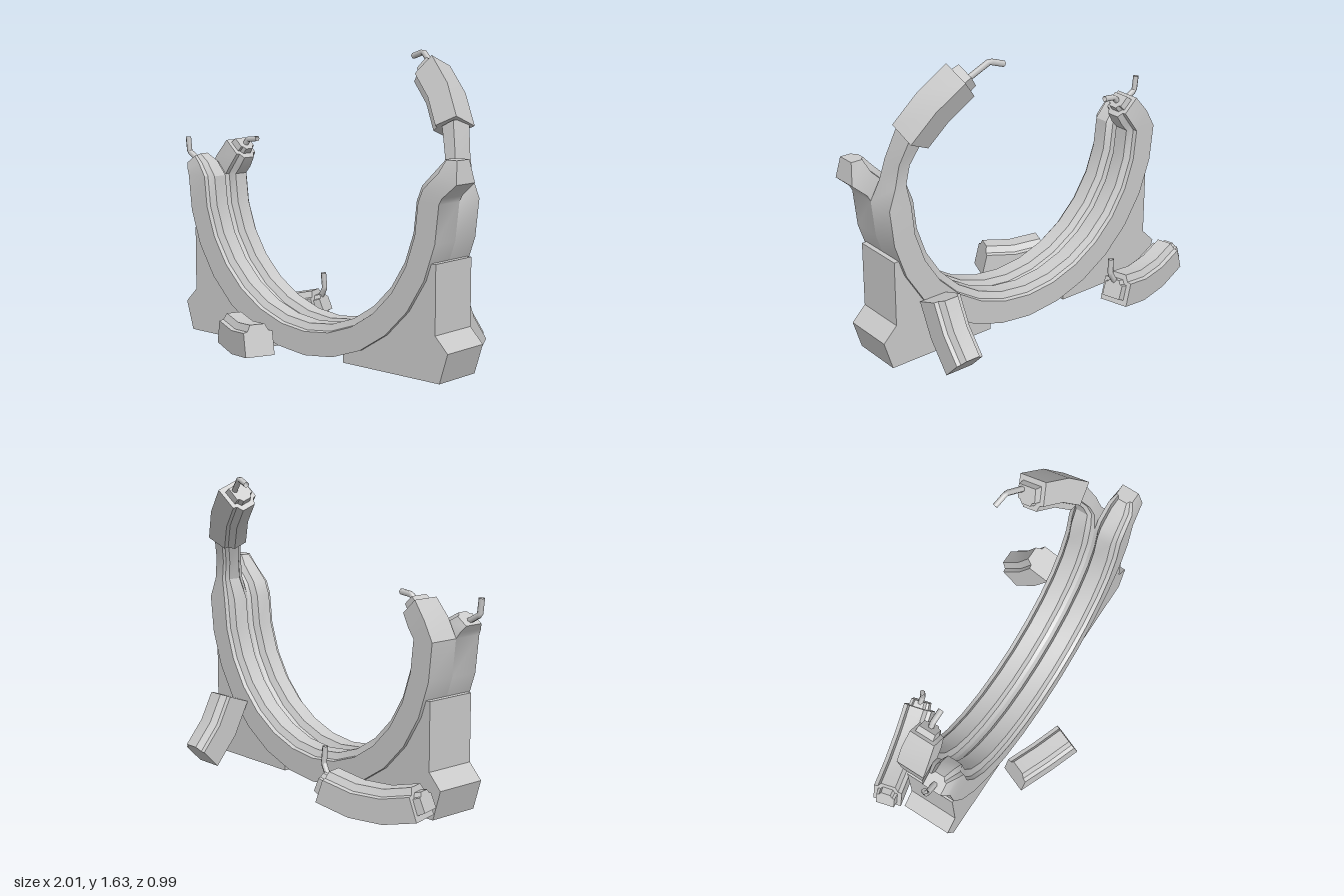
import * as THREE from 'three';
import { toCreasedNormals } from 'three/addons/utils/BufferGeometryUtils.js';

const R = 0.815, CY = 0.9;            // mid radius and height of the ring centre
const STEP = Math.PI / 14;            // one ring segment
const BOTTOM = Math.PI * 1.5;
const mat = new THREE.MeshStandardMaterial({ color: 0xcccccc, side: THREE.DoubleSide });

// Ring cross-section: [inward, sideways], with a raised ridge on the inner face
const PROFILE = [
  [-0.085, -0.0825], [0.045, -0.0825], [0.05, -0.06], [0.085, -0.042],
  [0.085, 0.042], [0.05, 0.06], [0.045, 0.0825], [-0.085, 0.0825],
];

// A section: centre, outward angle, radial scale and sideways scale
const section = (x, y, z, phi, su = 1, sw = 1) => ({ x, y, z, phi, su, sw });
const onRing = (t, z = 0, su = 1, sw = 1) =>
  section(R * Math.cos(t), CY + R * Math.sin(t), z, t, su, sw);

function arc(from, count, z = 0) {
  return Array.from({ length: count + 1 }, (_, i) => onRing(from + i * STEP, z));
}

// Skin the profile through a list of sections and close both ends
function loft(name, sections) {
  const n = PROFILE.length, pos = [], idx = [];
  for (const s of sections) {
    for (const [a, b] of PROFILE) {
      pos.push(s.x - Math.cos(s.phi) * a * s.su, s.y - Math.sin(s.phi) * a * s.su, s.z + b * s.sw);
    }
  }
  for (let i = 0; i < sections.length - 1; i++) {
    for (let j = 0; j < n; j++) {
      const k = (j + 1) % n, p = i * n, q = p + n;
      idx.push(p + j, p + k, q + k, p + j, q + k, q + j);
    }
  }
  const first = sections[0], last = sections[sections.length - 1];
  const c = sections.length * n, e = c - n;
  pos.push(first.x, first.y, first.z, last.x, last.y, last.z);
  for (let j = 0; j < n; j++) {
    const k = (j + 1) % n;
    idx.push(c, k, j, c + 1, e + j, e + k);
  }
  const geo = new THREE.BufferGeometry();
  geo.setAttribute('position', new THREE.Float32BufferAttribute(pos, 3));
  geo.setIndex(idx);
  const mesh = new THREE.Mesh(toCreasedNormals(geo, 0.5), mat);
  mesh.name = name;
  return mesh;
}

// Bent piece of conduit sticking out of a broken end
function wire(name, points) {
  const path = new THREE.CurvePath();
  const v = points.map(p => new THREE.Vector3(...p));
  for (let i = 1; i < v.length; i++) path.add(new THREE.LineCurve3(v[i - 1], v[i]));
  const mesh = new THREE.Mesh(new THREE.TubeGeometry(path, 12, 0.016, 6, false), mat);
  mesh.name = name;
  return mesh;
}

// Stepped plug on the end of an arc
const plug = (t, dir) => [onRing(t, 0, 0.65, 0.7), onRing(t + dir * 0.05, 0, 0.6, 0.65)];

// Fallen piece of ring lying with its ridge upwards
function fallenPiece(name, count, position, rotation, plugs = false) {
  const half = count * STEP / 2;
  let list = arc(BOTTOM - half, count);
  if (plugs) {
    list = [...plug(BOTTOM - half, -1).reverse(), ...list, ...plug(BOTTOM + half, 1)];
  }
  const mesh = loft(name, list);
  mesh.position.set(...position);
  mesh.rotation.set(...rotation);
  return mesh;
}

// Support block beside the ring
function support(name, side) {
  const outline = [
    [0.26, 0], [0.9, 0], [0.95, 0.16], [0.87, 0.24], [0.87, 0.6],
    [0.78, 0.6], [0.7, 0.44], [0.59, 0.31], [0.45, 0.19], [0.26, 0.1],
  ].map(([x, y]) => new THREE.Vector2(x * side, y));
  const geo = new THREE.ExtrudeGeometry(new THREE.Shape(outline), { depth: 0.29, bevelEnabled: false });
  geo.translate(0, 0, -0.145);
  const mesh = new THREE.Mesh(geo, mat);
  mesh.name = name;
  return mesh;
}

export function createModel() {
  const model = new THREE.Group();
  model.name = 'brokenRing';
  const zf = 0.0825, zb = -0.0825;

  model.add(support('leftSupport', 1), support('rightSupport', -1));

  // Front half ring, both torn ends bent outwards
  model.add(loft('frontRing', [
    section(-0.9, 0.992, zf, 3.74, 0.57, 0.65),
    section(-0.855, 0.955, zf, 3.5, 0.8, 0.9),
    ...arc(Math.PI, 14, zf),
    section(0.84, 0.955, zf, -0.3, 0.95, 1),
    section(0.925, 1.035, zf, -0.4, 0.95, 0.9),
    section(0.94, 1.12, zf, 0, 0.5, 0.6),
  ]));

  // Back half ring, right end bent inwards, left end drawn out into a thin neck
  model.add(loft('backRing', [
    section(-0.69, 1.075, zb, 2.4, 0.5, 0.6),
    section(-0.715, 1.05, zb, 2.4, 0.55, 0.65),
    section(-0.715, 1.045, zb, 2.4, 0.85, 0.9),
    section(-0.77, 0.97, zb, 2.75, 0.95, 1),
    ...arc(Math.PI, 14, zb),
    section(0.815, 1.01, -0.09, 0, 0.5, 0.85),
    section(0.795, 1.12, -0.105, 0.2, 0.5, 0.75),
    section(0.745, 1.27, -0.15, 0.45, 0.6, 0.8),
  ]));

  // Upper piece hanging on the neck, leaning backwards
  const upper = loft('upperPiece', [...arc(2 * STEP, 2), ...plug(4 * STEP, 1)]);
  upper.geometry.translate(0, -1.41, 0);
  upper.position.set(0, 1.395, -0.203);
  upper.rotation.x = -0.37;
  model.add(upper);

  // Pieces on the ground and one leaning against the back
  model.add(
    fallenPiece('frontFallenPiece', 2, [-0.275, 0, 0.335], [0, -0.38, 0]),
    fallenPiece('backFallenPiece', 3, [-0.68, 0, -0.34], [0, 0.258, 0], true),
    fallenPiece('leaningPiece', 2, [0.65, 0.16, -0.253], [-1.0, Math.PI / 2, 0]),
  );

  // Loose conduits
  model.add(
    wire('frontRingWire', [[-0.89, 0.97, zf], [-0.98, 1.02, zf], [-0.99, 1.105, zf]]),
    wire('backRingWire', [[-0.72, 1.03, zb], [-0.67, 1.1, zb], [-0.595, 1.107, zb]]),
    wire('upperPieceWire', [[0.5, 1.54, -0.29], [0.4, 1.615, -0.33], [0.32, 1.59, -0.345]]),
    wire('backFallenPieceWire', [[-0.43, 0.14, -0.41], [-0.375, 0.23, -0.405], [-0.38, 0.32, -0.4]]),
  );
  return model;
}
